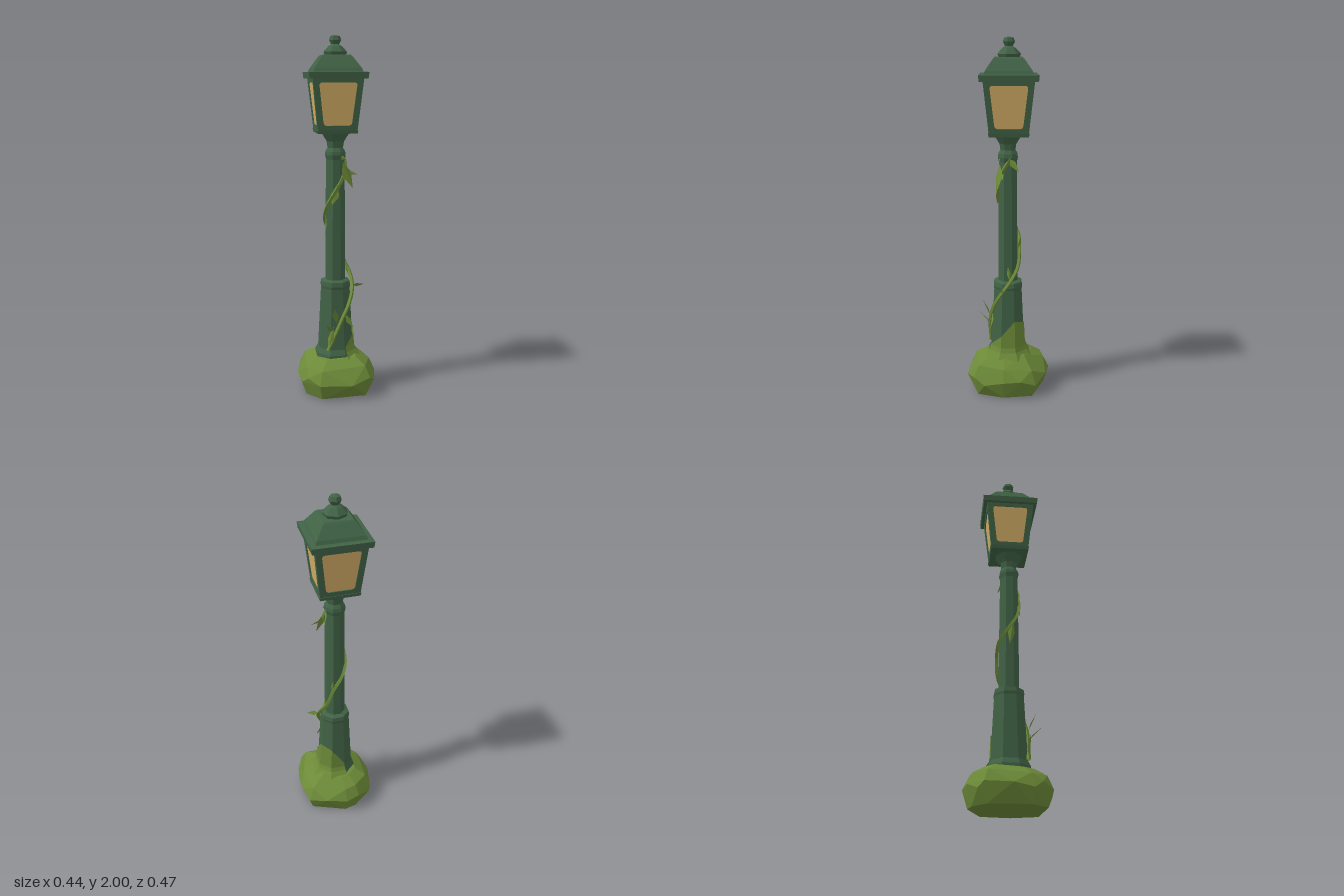
import * as THREE from 'three';
import { ConvexGeometry } from 'three/addons/geometries/ConvexGeometry.js';

const metal = new THREE.MeshStandardMaterial({ color: 0x416346, flatShading: true, side: THREE.DoubleSide });
metal.name = 'dark green metal';
const moss = new THREE.MeshStandardMaterial({ color: 0x6c8a38, flatShading: true, side: THREE.DoubleSide });
moss.name = 'moss green';
const glass = new THREE.MeshStandardMaterial({ color: 0xd2ad66, side: THREE.DoubleSide });
glass.name = 'warm glass';

function add(parent, name, geometry, material) {
  const mesh = new THREE.Mesh(geometry, material);
  mesh.name = name;
  parent.add(mesh);
  return mesh;
}

// Faceted column: profile of [half width, y], measured to the flat sides
function prism(profile, sides) {
  const k = 1 / Math.cos(Math.PI / sides);
  const pts = profile.map(([r, y]) => new THREE.Vector2(r * k, y));
  return new THREE.LatheGeometry(pts, sides, Math.PI / sides, Math.PI * 2);
}

// Trapezoid outline with rounded corners, symmetric about x = 0
function trapezoid(lowHalf, highHalf, y0, y1, r, PathType) {
  const c = [[-lowHalf, y0], [lowHalf, y0], [highHalf, y1], [-highHalf, y1]].map((p) => new THREE.Vector2(...p));
  const path = new PathType();
  c.forEach((p, i) => {
    const before = c[(i + 3) % 4].clone().sub(p).setLength(r).add(p);
    const after = c[(i + 1) % 4].clone().sub(p).setLength(r).add(p);
    if (i === 0) path.moveTo(before.x, before.y);
    else path.lineTo(before.x, before.y);
    path.quadraticCurveTo(p.x, p.y, after.x, after.y);
  });
  path.closePath();
  return path;
}

// Folded four-point leaf from base to tip
function leaf(base, tip, width) {
  const a = new THREE.Vector3(...base), b = new THREE.Vector3(...tip);
  const dir = b.clone().sub(a);
  const out = new THREE.Vector3(a.x, 0, a.z).normalize();
  const side = dir.clone().cross(out).setLength(width);
  const mid = a.clone().lerp(b, 0.45).addScaledVector(out, -0.006);
  const l = mid.clone().add(side), r = mid.clone().sub(side);
  const g = new THREE.BufferGeometry().setFromPoints([a, r, b, a, b, l]);
  g.computeVertexNormals();
  return g;
}

function buildRock(root) {
  const outline = [[-0.02, -0.24], [0.1, -0.215], [0.195, -0.155], [0.22, -0.07], [0.22, 0.03],
    [0.2, 0.135], [0.165, 0.195], [0.06, 0.235], [-0.12, 0.215], [-0.18, 0.155],
    [-0.21, 0.11], [-0.223, 0.005], [-0.195, -0.14], [-0.18, -0.17], [-0.1, -0.22]];
  const rings = [[0.005, 0.88, 0], [0.095, 1, 0.02], [0.165, 0.86, 0.012], [0.205, 0.58, 0.008]];
  const pts = [];
  for (const [y, s, wobble] of rings) {
    outline.forEach(([x, z], i) => {
      if (s < 1 && i % 2) return;
      pts.push(new THREE.Vector3(x * s, y + wobble * Math.sin(i * 2.3), z * s));
    });
  }
  for (const p of pts) if (p.y < 0.01) p.y = 0;
  pts.push(new THREE.Vector3(0.1, 0.225, 0.02), new THREE.Vector3(0.09, 0.22, -0.09));
  add(root, 'mossyRock', new ConvexGeometry(pts), moss);
}

function buildPost(root) {
  add(root, 'postBase', prism([[0.112, 0.17], [0.11, 0.22], [0.095, 0.25], [0.078, 0.6],
    [0.081, 0.615], [0.077, 0.64], [0.05, 0.65]], 8), metal).position.x = -0.004;
  add(root, 'postShaft', prism([[0.054, 0.63], [0.053, 0.9], [0.049, 1.33], [0.055, 1.355],
    [0.052, 1.375], [0.041, 1.395], [0.046, 1.43], [0.055, 1.445], [0.08, 1.485]], 8), metal).position.x = -0.004;

  // Moss climbing the left and back faces of the base
  const g = new THREE.LatheGeometry([[0.15, 0.19], [0.117, 0.235], [0.108, 0.26], [0.1, 0.4]]
    .map((p) => new THREE.Vector2(...p)), 4, Math.PI / 8, Math.PI);
  const tops = [0.265, 0.33, 0.42, 0.4, 0.28];
  const pos = g.attributes.position;
  tops.forEach((y, i) => {
    const phi = Math.PI / 8 + i * Math.PI / 4, j = i * 4 + 3;
    const r = (0.095 - (y - 0.25) * 0.0486) / Math.cos(Math.PI / 8) + 0.005;
    pos.setXYZ(j, r * Math.sin(phi), y, r * Math.cos(phi));
  });
  g.computeVertexNormals();
  add(root, 'postMoss', g, moss);
}

function buildLantern(root) {
  const lantern = new THREE.Group();
  lantern.name = 'lantern';
  lantern.position.set(-0.005, 0, -0.004);
  root.add(lantern);

  const low = 0.106, high = 0.138, y0 = 1.48, h = 0.3;
  const tilt = Math.atan2(high - low, h), slant = Math.hypot(h, high - low);
  const frame = trapezoid(low, high, 0, slant, 0.0005, THREE.Shape);
  frame.holes.push(trapezoid(0.076, 0.103, 0.04, 0.27, 0.018, THREE.Path));
  const frameGeo = new THREE.ExtrudeGeometry(frame, { depth: 0.012, bevelEnabled: false, curveSegments: 4 });
  frameGeo.translate(0, 0, -0.012);
  const paneGeo = new THREE.ShapeGeometry(trapezoid(0.08, 0.107, 0.036, 0.274, 0.018, THREE.Shape), 4);
  paneGeo.translate(0, 0, -0.006);

  // Four leaning walls, each a frame with a pane
  for (let i = 0; i < 4; i++) {
    const turn = new THREE.Group();
    turn.name = 'lanternSide';
    turn.rotation.y = i * Math.PI / 2;
    const wall = new THREE.Group();
    wall.name = 'lanternWall';
    wall.position.set(0, y0, low);
    wall.rotation.x = tilt;
    add(wall, 'windowFrame', frameGeo, metal);
    add(wall, 'windowPane', paneGeo, glass);
    turn.add(wall);
    lantern.add(turn);
  }
  add(lantern, 'lanternFloor', prism([[0, 1.477], [0.108, 1.477], [0.111, 1.495], [0, 1.495]], 4), metal);
  add(lantern, 'roof', prism([[0, 1.77], [0.156, 1.77], [0.16, 1.803], [0.133, 1.806], [0.125, 1.825],
    [0.083, 1.885], [0.076, 1.893], [0, 1.893]], 4), metal);

  // Lumpy finial
  const finial = prism([[0.05, 1.885], [0.06, 1.91], [0.036, 1.938], [0.02, 1.95], [0.031, 1.972],
    [0.024, 1.993], [0, 2]], 7);
  add(lantern, 'finial', finial, metal);
}

function buildVine(root) {
  const path = [[-0.06, 0.25, 0.098], [-0.02, 0.34, 0.1], [0.02, 0.43, 0.098], [0.065, 0.52, 0.075],
    [0.09, 0.6, 0.03], [0.085, 0.67, -0.02], [0.055, 0.74, -0.056], [0.02, 0.84, -0.065],
    [-0.03, 0.92, -0.057], [-0.064, 0.99, -0.01], [-0.058, 1.07, 0.04], [-0.015, 1.15, 0.056],
    [0.025, 1.22, 0.054], [0.05, 1.29, 0.025], [0.04, 1.36, -0.02]];
  const curve = new THREE.CatmullRomCurve3(path.map((p) => new THREE.Vector3(...p)));
  add(root, 'vineStem', new THREE.TubeGeometry(curve, 42, 0.011, 4), moss);
  const leaves = [
    [[-0.06, 0.25, 0.1], [-0.03, 0.4, 0.115], 0.02],
    [[-0.03, 0.36, 0.1], [-0.075, 0.42, 0.165], 0.018],
    [[-0.01, 0.41, 0.1], [-0.03, 0.51, 0.145], 0.018],
    [[0.04, 0.46, 0.09], [0.085, 0.38, 0.1], 0.016],
    [[0.09, 0.61, 0.03], [0.155, 0.618, 0.04], 0.014],
    [[0.075, 0.66, -0.01], [0.055, 0.74, 0.0], 0.012],
    [[0.02, 0.82, -0.065], [0.025, 0.91, -0.07], 0.014],
    [[-0.062, 0.9, 0.0], [-0.062, 1.05, 0.02], 0.02],
    [[-0.03, 1.08, 0.058], [0.0, 1.2, 0.062], 0.026],
    [[0.03, 1.32, 0.045], [0.085, 1.175, 0.062], 0.035],
    [[0.05, 1.27, 0.035], [0.12, 1.245, 0.03], 0.012],
    [[0.045, 1.36, 0.0], [0.07, 1.28, -0.06], 0.018],
    [[0.01, 1.35, 0.05], [0.05, 1.33, 0.05], 0.014],
  ];
  for (const l of leaves) add(root, 'vineLeaf', leaf(...l), moss);
}

export function createModel() {
  const root = new THREE.Group();
  root.name = 'streetLamp';
  buildRock(root);
  buildPost(root);
  buildLantern(root);
  buildVine(root);
  return root;
}
